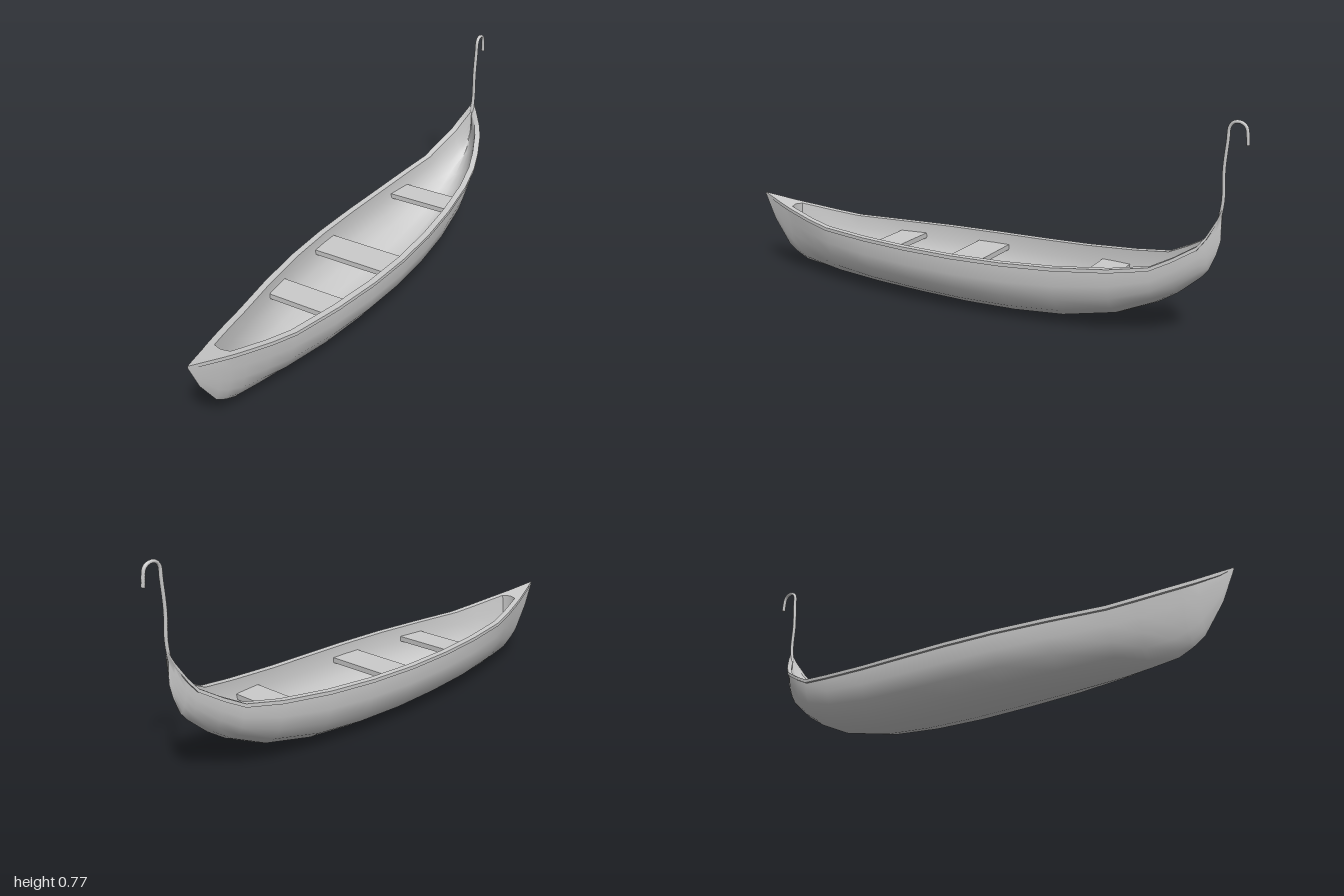
import * as THREE from 'three';
import { toCreasedNormals } from 'three/addons/utils/BufferGeometryUtils.js';

// Hull stations: z, rim height, keel height, rim half-width, fullness (1 = round, 0 = V)
const STATIONS = [
  [1.0, 0.307, 0.3, 0.0, 0], [0.955, 0.297, 0.2, 0.016, 0], [0.885, 0.281, 0.1, 0.04, 0.2],
  [0.845, 0.273, 0.072, 0.054, 0.3], [0.835, 0.271, 0.066, 0.057, 0.3], [0.79, 0.263, 0.045, 0.071, 0.4],
  [0.7, 0.247, 0.033, 0.097, 0.6], [0.6, 0.233, 0.022, 0.121, 0.8], [0.4, 0.228, 0.012, 0.157, 1],
  [0.2, 0.226, 0.005, 0.181, 1], [0, 0.225, 0, 0.19, 1], [-0.2, 0.227, 0.002, 0.185, 1],
  [-0.39, 0.234, 0.015, 0.17, 1], [-0.585, 0.25, 0.055, 0.146, 0.95], [-0.72, 0.27, 0.115, 0.118, 0.85],
  [-0.79, 0.305, 0.16, 0.099, 0.75], [-0.865, 0.35, 0.225, 0.07, 0.6], [-0.89, 0.385, 0.255, 0.053, 0.5],
  [-0.914, 0.435, 0.315, 0.024, 0.3], [-0.925, 0.47, 0.36, 0.005, 0],
];
const ROUND = [[0, 0], [0.34, 0.065], [0.67, 0.22], [0.89, 0.45], [1, 0.72], [1, 1]];
const VEE = [[0, 0], [0.24, 0.1], [0.45, 0.28], [0.66, 0.5], [0.84, 0.76], [1, 1]];
const DECK_START = 0.84;
const WALL = 0.025;

// Points from keel to rim at one station
function profile(halfWidth, bottom, top, fullness) {
  return ROUND.map(([rx, ry], i) => [
    halfWidth * THREE.MathUtils.lerp(VEE[i][0], rx, fullness),
    THREE.MathUtils.lerp(bottom, top, THREE.MathUtils.lerp(VEE[i][1], ry, fullness)),
  ]);
}

// Closed ring: outer skin, overhanging rim, inner skin, mirrored to the other side
function section([z, rim, keel, w, fullness]) {
  const lip = Math.min(0.01, w * 0.2);
  const drop = Math.min(0.013, (rim - keel) * 0.4);
  const decked = z > DECK_START;
  const outer = profile(w - lip, keel, rim - drop, fullness);
  const inner = profile(decked ? 0 : Math.max(0, w - WALL), decked ? rim : Math.min(rim, keel + 0.02), rim, fullness);
  const half = [...outer, [w, rim - drop], [w, rim], ...inner.reverse()];
  const mirrored = half.slice(1, -1).reverse().map(([x, y]) => [-x, y]);
  return [...half, ...mirrored].map(([x, y]) => [x, y, z]);
}

function loft(rings) {
  const n = rings[0].length;
  const index = [];
  for (let i = 0; i < rings.length - 1; i++) {
    for (let j = 0; j < n; j++) {
      const a = i * n + j, c = i * n + (j + 1) % n;
      index.push(a, a + n, c, c, a + n, c + n);
    }
  }
  const geometry = new THREE.BufferGeometry();
  geometry.setAttribute('position', new THREE.Float32BufferAttribute(rings.flat(2), 3));
  geometry.setIndex(index);
  return toCreasedNormals(geometry, 0.75);
}

// Inner half-width of the hull at a given z and height
function innerWidth(z, y) {
  const i = STATIONS.findIndex((s) => s[0] <= z);
  const a = STATIONS[i - 1], b = STATIONS[i];
  const t = (z - a[0]) / (b[0] - a[0]);
  const [rim, keel, w, fullness] = [1, 2, 3, 4].map((k) => THREE.MathUtils.lerp(a[k], b[k], t));
  const pts = profile(w - WALL, keel + 0.02, rim, fullness);
  const k = pts.findIndex((p) => p[1] >= y);
  const u = (y - pts[k - 1][1]) / (pts[k][1] - pts[k - 1][1]);
  return THREE.MathUtils.lerp(pts[k - 1][0], pts[k][0], u) + 0.006;
}

// Plank tapered to follow the hull sides
function seatGeometry(zBack, zFront, top) {
  const geometry = new THREE.BoxGeometry(2, 0.02, zFront - zBack);
  geometry.translate(0, top - 0.01, (zFront + zBack) / 2);
  const p = geometry.attributes.position;
  for (let i = 0; i < p.count; i++) p.setX(i, p.getX(i) * innerWidth(p.getZ(i), top));
  geometry.computeVertexNormals();
  return geometry;
}

export function createModel() {
  const group = new THREE.Group();
  const material = new THREE.MeshStandardMaterial({ color: 0xcccccc, side: THREE.DoubleSide });
  const add = (name, geometry) => {
    const mesh = new THREE.Mesh(geometry, material);
    mesh.name = name;
    group.add(mesh);
    return mesh;
  };

  add('hull', loft(STATIONS.map(section)));

  // Three cross seats
  add('rearSeat', seatGeometry(-0.57, -0.46, 0.195));
  add('middleSeat', seatGeometry(-0.06, 0.07, 0.185));
  add('frontSeat', seatGeometry(0.3, 0.41, 0.188));

  // Slender stern post bending into a hook
  const path = new THREE.CatmullRomCurve3([
    [0.43, -0.916], [0.5, -0.925], [0.6, -0.922], [0.7, -0.929], [0.742, -0.932],
    [0.758, -0.945], [0.759, -0.968], [0.745, -0.986], [0.715, -0.992], [0.688, -0.994],
  ].map(([y, z]) => new THREE.Vector3(0, y, z)));
  const post = new THREE.TubeGeometry(path, 48, 0.006, 8);
  post.scale(1.3, 1, 1);
  add('sternPost', post);

  // Rounded tip closing the hook
  const tip = new THREE.SphereGeometry(0.006, 8, 6);
  tip.scale(1.3, 0.6, 1);
  add('hookTip', tip).position.set(0, 0.688, -0.994);

  return group;
}
